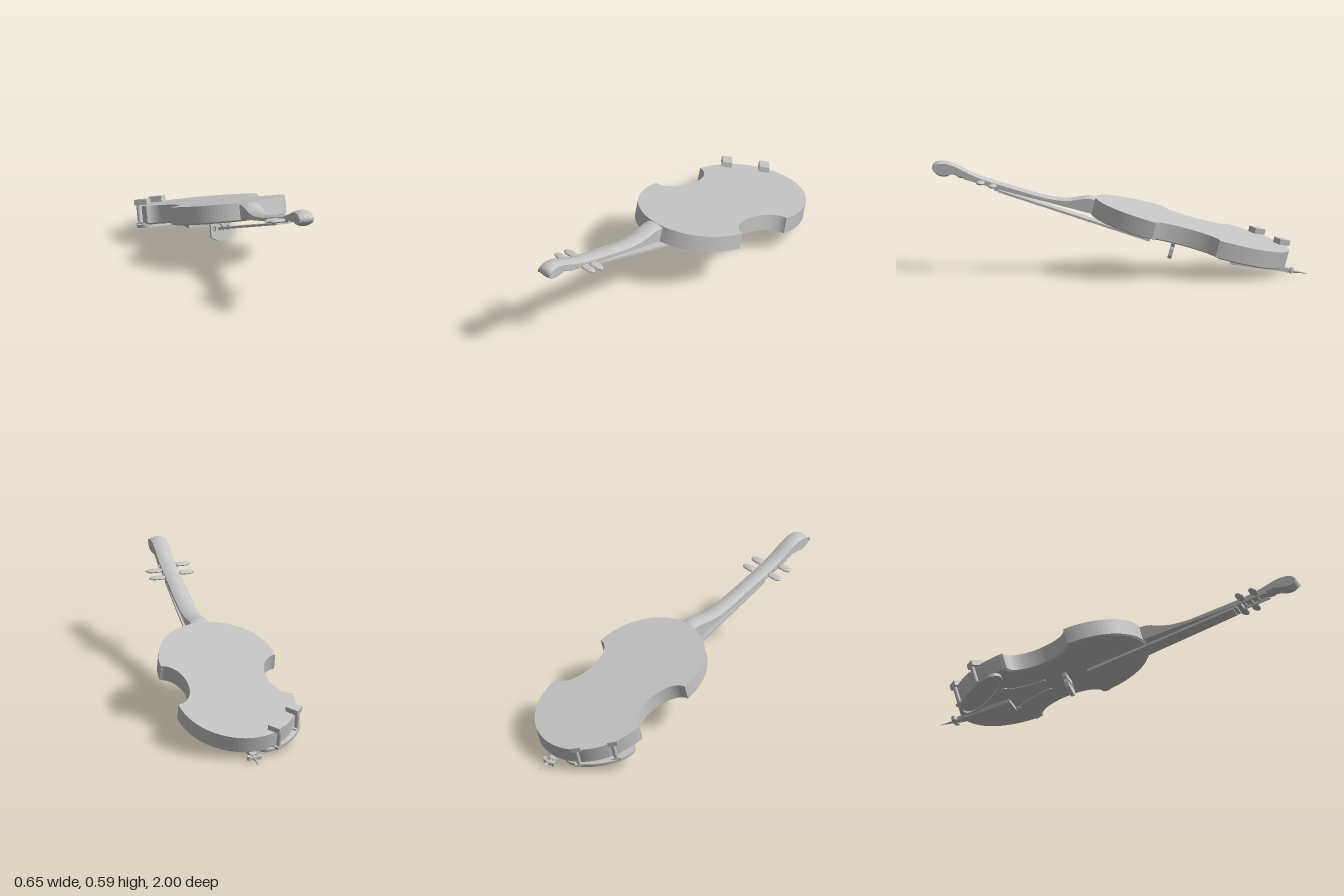
import * as THREE from 'three';
import { toCreasedNormals } from 'three/addons/utils/BufferGeometryUtils.js';

const grey = new THREE.MeshStandardMaterial({ color: 0xc4c4c4 });
grey.name = 'plain grey';

function add(parent, name, geo, x = 0, y = 0, z = 0) {
  const m = new THREE.Mesh(geo, grey);
  m.name = name;
  m.position.set(x, y, z);
  parent.add(m);
  return m;
}

const poly = (pts) => new THREE.Shape(pts.map(([a, b]) => new THREE.Vector2(a, b)));

// Flat plan (x, -z) thickened upward
function plan(shape, depth, opts = {}) {
  const g = new THREE.ExtrudeGeometry(shape, { depth, bevelEnabled: false, curveSegments: 24, ...opts });
  return g.rotateX(-Math.PI / 2);
}

// Side profile (z, y) thickened across x
function side(shape, width, steps = 1) {
  const g = new THREE.ExtrudeGeometry(shape, { depth: width, steps, bevelEnabled: false, curveSegments: 40 });
  return g.translate(0, 0, -width / 2).rotateY(-Math.PI / 2);
}

function bodyShape() {
  const s = new THREE.Shape(), P = Math.PI;
  s.absellipse(0, 0.193, 0.316, 0.353, P, 2 * P, false);
  s.absellipse(0.316, 0.369, 0.1, 0.176, -P / 2, P / 2, true);
  s.absellipse(0, 0.545, 0.316, 0.363, 0, P, false);
  s.absellipse(-0.316, 0.369, 0.1, 0.176, P / 2, -P / 2, true);
  return s;
}

function ellipse(a, b, hole) {
  const s = new THREE.Shape();
  s.absellipse(0, 0, a, b, 0, Math.PI * 2, false);
  if (hole) {
    const h = new THREE.Path();
    h.absellipse(0, 0, a - hole, b - hole, 0, Math.PI * 2, true);
    s.holes.push(h);
  }
  return s;
}

// Neck and head in one profile, with the peg box notched underneath
function neckGeometry() {
  const s = new THREE.Shape();
  s.moveTo(0.1, 0.318);
  s.lineTo(0.144, 0.326);
  s.lineTo(0.69, 0.464);
  s.lineTo(0.69, 0.482);
  s.lineTo(0.82, 0.527);
  s.lineTo(0.83, 0.508);
  const v = (pts) => pts.map(([a, b]) => new THREE.Vector2(a, b));
  s.splineThru(v([[0.855, 0.509], [0.875, 0.522], [0.9, 0.524], [0.93, 0.514], [0.965, 0.52],
    [0.99, 0.54], [0.999, 0.565], [0.985, 0.59], [0.95, 0.6], [0.888, 0.588], [0.754, 0.526],
    [0.567, 0.467], [0.42, 0.426], [0.33, 0.409], [0.262, 0.407], [0.166, 0.419], [0.1, 0.402]]));
  const g = side(s, 0.082, 8), p = g.attributes.position;
  for (let i = 0; i < p.count; i++) {
    const x = p.getX(i), y = p.getY(i), z = p.getZ(i);
    const upper = y > 0.346 + 0.253 * (z - 0.144);
    const bend = 0.012 * (x / 0.041) ** 2;
    if (upper) p.setY(i, y - bend);
    else if (z > 0.832) p.setY(i, y + bend);
    p.setX(i, x * (1 + 0.2 * THREE.MathUtils.clamp((0.5 - z) / 0.4, 0, 1)));
  }
  return toCreasedNormals(g, 0.6);
}

function bridgeShape() {
  const s = poly([[-0.057, 0.004], [-0.057, -0.035], [-0.053, -0.05], [-0.057, -0.065], [-0.057, -0.1]]);
  s.quadraticCurveTo(0, -0.145, 0.057, -0.1);
  [[0.057, -0.065], [0.053, -0.05], [0.057, -0.035], [0.057, 0.004]].forEach(([x, y]) => s.lineTo(x, y));
  // Heart cut-out
  const h = new THREE.Path();
  h.moveTo(0, -0.028);
  h.bezierCurveTo(0.006, -0.045, 0.02, -0.05, 0.018, -0.064);
  h.bezierCurveTo(0.014, -0.076, 0.004, -0.072, 0, -0.062);
  h.bezierCurveTo(-0.004, -0.072, -0.014, -0.076, -0.018, -0.064);
  h.bezierCurveTo(-0.02, -0.05, -0.006, -0.045, 0, -0.028);
  s.holes.push(h);
  for (const k of [-1, 1]) {
    const c = new THREE.Path();
    c.absellipse(k * 0.037, -0.056, 0.011, 0.016, 0, Math.PI * 2, true);
    s.holes.push(c);
  }
  return s;
}

export function createModel() {
  const root = new THREE.Group();
  root.name = 'violin';
  const model = new THREE.Group();
  model.position.x = 0.006;
  root.add(model);

  // Sloping body, belly down
  const body = new THREE.Group();
  body.name = 'body';
  body.position.set(0, 0.283, 0);
  body.rotation.x = -0.267;
  model.add(body);
  add(body, 'soundBox', plan(bodyShape(), 0.091));
  add(body, 'bellyArch', plan(bodyShape(), 0.001,
    { bevelEnabled: true, bevelThickness: 0.01, bevelSize: 0.035, bevelOffset: -0.04, bevelSegments: 3 }));

  const bridge = new THREE.ExtrudeGeometry(bridgeShape(), { depth: 0.02, bevelEnabled: false });
  add(body, 'bridge', bridge, 0, 0, -0.315);

  // Sound holes as thin plates on the belly
  for (const k of [-1, 1]) {
    const pts = [[0.055, -0.42], [0.062, -0.48], [0.085, -0.56], [0.12, -0.63]];
    const curve = new THREE.CatmullRomCurve3(pts.map(([x, z]) => new THREE.Vector3(k * x, 0, z)));
    const stem = add(body, 'soundHoleStem', new THREE.TubeGeometry(curve, 16, 0.007, 6), 0, -0.012, 0);
    stem.scale.y = 0.4;
    add(body, 'soundHoleDot', new THREE.CylinderGeometry(0.01, 0.01, 0.006, 16), k * 0.055, -0.012, -0.42);
    const dot = add(body, 'soundHoleDot', new THREE.CylinderGeometry(0.016, 0.016, 0.006, 16), k * 0.122, -0.012, -0.63);
    dot.scale.z = 1.3;
  }

  // Chin rest: shallow dish with a raised rim, and two clamps
  const rest = new THREE.Group();
  rest.name = 'chinRest';
  rest.position.set(-0.185, -0.026, -0.742);
  rest.rotation.y = Math.PI / 4;
  body.add(rest);
  add(rest, 'chinRestRim', plan(ellipse(0.19, 0.09, 0.018), 0.018));
  add(rest, 'chinRestDish', plan(ellipse(0.18, 0.08), 0.008), 0, 0.009, 0);
  for (const [x, z] of [[-0.275, -0.71], [-0.137, -0.855]]) {
    const clamp = new THREE.Group();
    clamp.name = 'chinRestClamp';
    clamp.position.set(x, 0, z);
    clamp.rotation.y = Math.PI / 4;
    body.add(clamp);
    add(clamp, 'clampHook', new THREE.BoxGeometry(0.053, 0.03, 0.072), 0, 0.107, 0);
    add(clamp, 'clampPost', new THREE.CylinderGeometry(0.012, 0.012, 0.12, 12), 0, 0.045, -0.024);
    add(clamp, 'clampFoot', new THREE.BoxGeometry(0.045, 0.014, 0.04), 0, -0.008, -0.016);
  }

  // Neck, peg box walls, nut
  add(model, 'neck', neckGeometry());
  for (const k of [-1, 1]) {
    const wall = poly([[0.67, 0.459], [0.835, 0.507], [0.82, 0.53], [0.69, 0.485]]);
    add(model, 'pegBoxWall', side(wall, 0.009), k * 0.0365, 0, 0);
  }
  const nut = add(model, 'nut', new THREE.BoxGeometry(0.083, 0.018, 0.02), 0, 0.453, 0.657);
  nut.rotation.x = -0.267;

  // Fingerboard, widening toward the bridge
  const board = add(model, 'fingerboard',
    plan(poly([[-0.041, 0], [0.041, 0], [0.057, 0.847], [-0.057, 0.847]]), 0.012), 0, 0.438, 0.649);
  board.rotation.x = -0.308;

  // Tuning pegs: flattened heads on shafts across the peg box
  const headProfile = [[0, 0], [0.012, 0], [0.022, 0.012], [0.022, 0.062], [0.013, 0.08], [0, 0.088]]
    .map(([r, h]) => new THREE.Vector2(r, h));
  for (const [k, y, z] of [[-1, 0.503, 0.775], [-1, 0.483, 0.7], [1, 0.493, 0.738], [1, 0.476, 0.675]]) {
    const peg = new THREE.Group();
    peg.name = 'tuningPeg';
    peg.position.set(0, y, z);
    model.add(peg);
    const head = toCreasedNormals(new THREE.LatheGeometry(headProfile, 12).rotateZ(-k * Math.PI / 2), 0.5);
    add(peg, 'pegHead', head, k * 0.041, 0, 0).scale.y = 0.45;
    add(peg, 'pegShaft', new THREE.CylinderGeometry(0.008, 0.008, 0.09, 10).rotateZ(Math.PI / 2));
  }

  // Tailpiece with its pointed end fitting
  const tail = new THREE.Group();
  tail.name = 'tailpiece';
  tail.position.set(0, 0.062, -0.59);
  tail.rotation.x = -0.147;
  model.add(tail);
  add(tail, 'tailpiecePlate', plan(poly([[-0.057, 0], [0.057, 0], [0.055, 0.03], [0.016, 0.31], [-0.016, 0.31], [-0.055, 0.03]]), 0.021));
  add(tail, 'endCrossbar', new THREE.BoxGeometry(0.06, 0.016, 0.012), 0, 0.01, -0.332);
  add(tail, 'endSpike', new THREE.ConeGeometry(0.012, 0.115, 12).rotateX(-Math.PI / 2), 0, 0.007, -0.357);
  for (const k of [-1, 1])
    add(tail, 'endCurl', new THREE.CylinderGeometry(0.011, 0.011, 0.022, 14), k * 0.03, 0.01, -0.324);

  return root;
}
